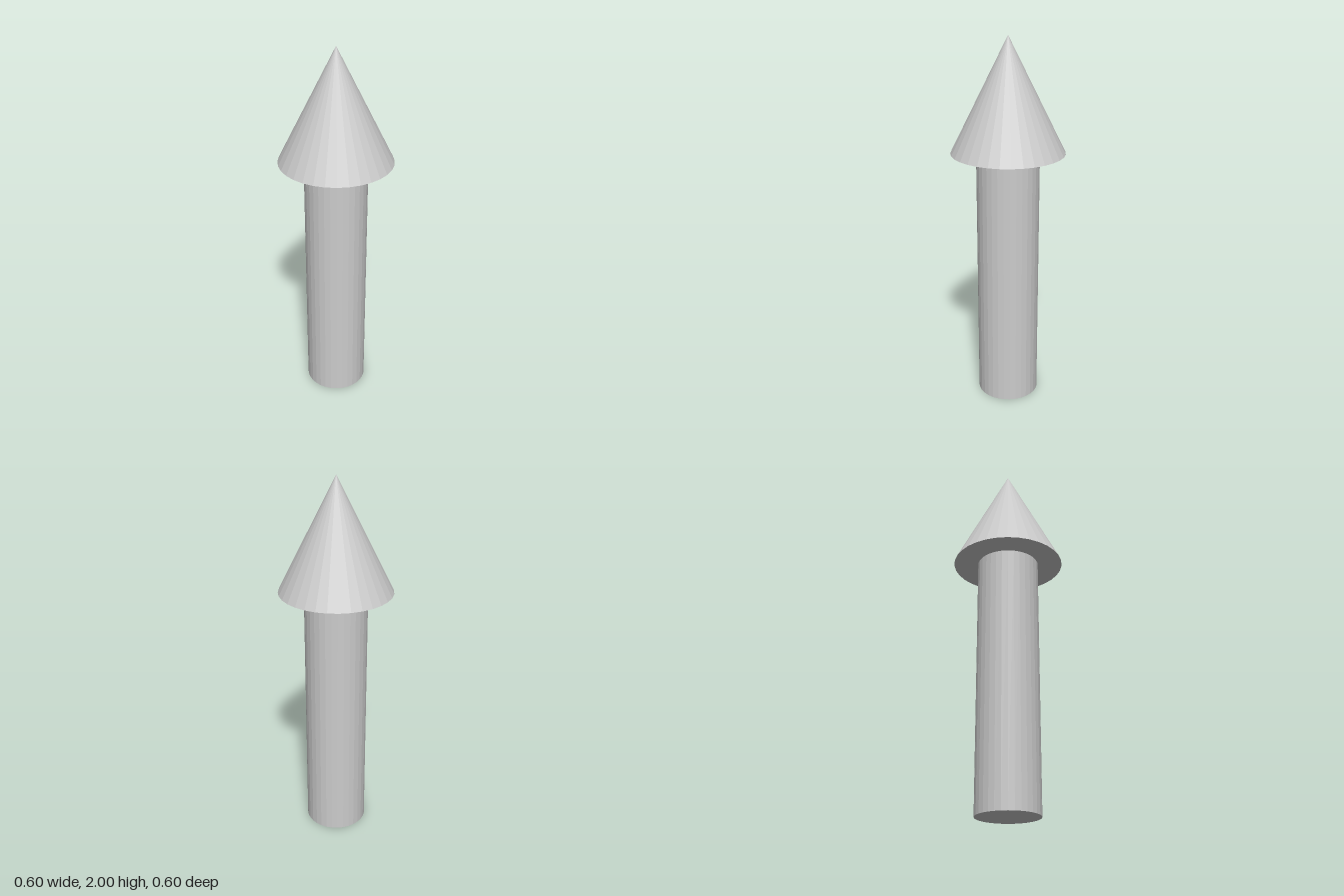
import * as THREE from 'three';

const SIDES = 32;
const SHAFT_HEIGHT = 1.4;
const HEAD_HEIGHT = 0.6;

export function createModel() {
  const group = new THREE.Group();
  group.name = 'arrow';
  const material = new THREE.MeshStandardMaterial({ color: 0xcccccc, flatShading: true });

  const addPart = (name, geometry, y) => {
    const mesh = new THREE.Mesh(geometry, material);
    mesh.name = name;
    mesh.position.y = y;
    group.add(mesh);
  };

  // Straight shaft standing on the ground
  addPart('shaft', new THREE.CylinderGeometry(0.167, 0.167, SHAFT_HEIGHT, SIDES), SHAFT_HEIGHT / 2);

  // Pointed head, closed underneath
  addPart('head', new THREE.ConeGeometry(0.301, HEAD_HEIGHT, SIDES), SHAFT_HEIGHT + HEAD_HEIGHT / 2);

  return group;
}
